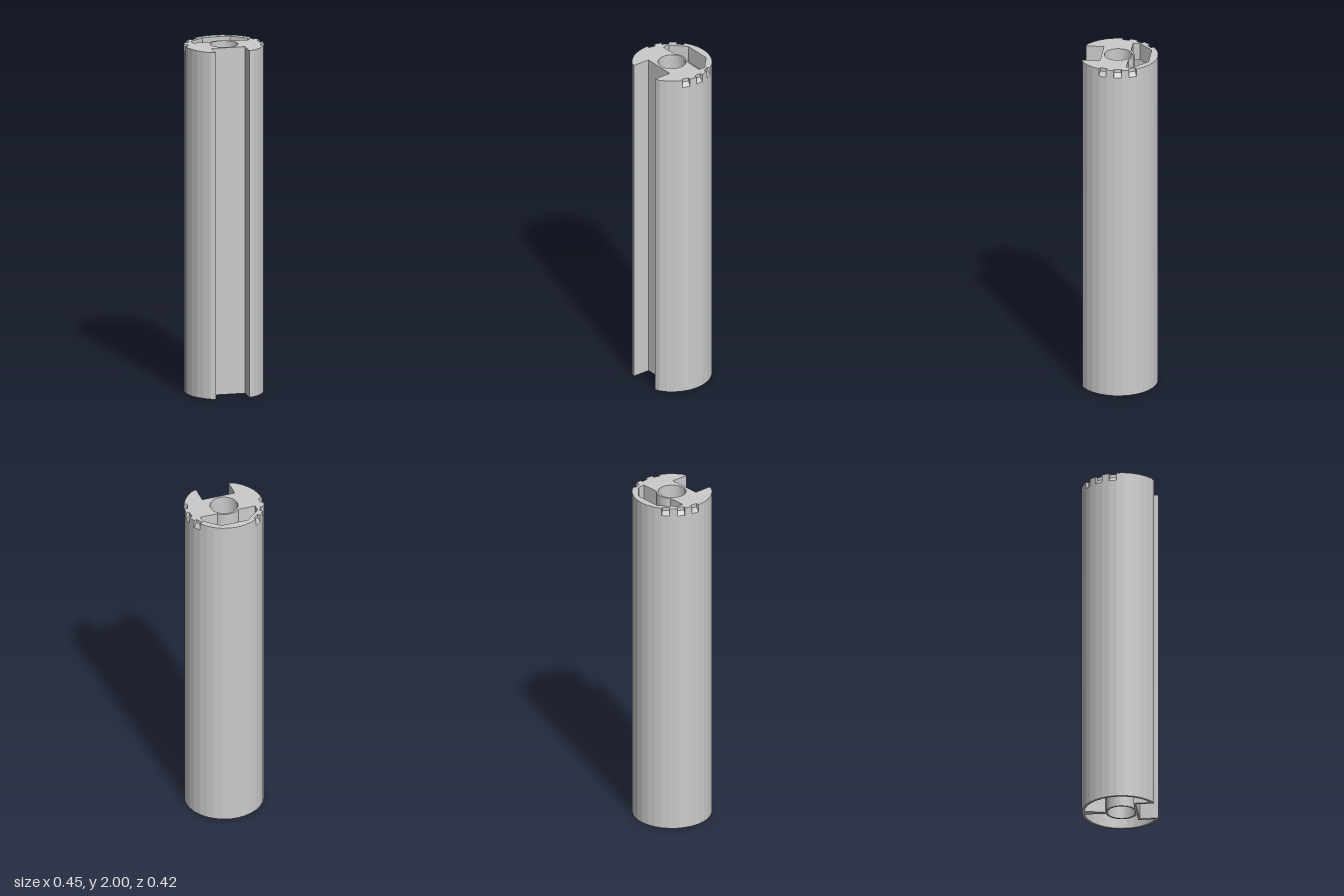
import * as THREE from 'three';

const CZ = 0.015;            // z of the round section's centre
const R = 0.225;             // outer radius
const STEP = Math.PI / 16;   // 32-sided outer wall
const TOP = 2, NOTCH = 1.955, PLATE = 1.9;
const NOTCH_DEPTH = 0.018;
const NOTCHES = [6, 8, 10, 19, 21, 23]; // notched facets, counted from +z towards +x

// point on a circle about the section's centre, angle measured from +z towards +x
const polar = (r, a) => new THREE.Vector2(r * Math.sin(a), CZ + r * Math.cos(a));
const ring = (r, n = 32) => Array.from({ length: n }, (_, i) => polar(r, (i * 2 * Math.PI) / n));
const points = (list) => list.map(([x, z]) => new THREE.Vector2(x, z));

// C-shaped section: round wall with a square slot at the front
function section(r, slotX, slotEnd, slotBack, notched = []) {
  const pts = [];
  for (let k = 3; k <= 29; k++) {
    pts.push(polar(r, k * STEP));
    if (notched.includes(k)) pts.push(polar(r - NOTCH_DEPTH, k * STEP), polar(r - NOTCH_DEPTH, (k + 1) * STEP));
  }
  pts.push(...points([[-slotX, slotEnd], [-slotX, slotBack], [slotX, slotBack], [slotX, slotEnd]]));
  return pts;
}

// opening behind the tube, its front edge curving around the tube wall
function windowOutline() {
  const pts = points([[0.163, -0.05], [0.163, -0.09], [0.08, -0.165],
    [-0.08, -0.165], [-0.163, -0.09], [-0.163, -0.05]]);
  for (let i = -4; i <= 4; i++) pts.push(polar(0.09, Math.PI - i * 0.19));
  return pts;
}

export function createModel() {
  const group = new THREE.Group();
  const material = new THREE.MeshStandardMaterial({ color: 0xcccccc, flatShading: true });

  function add(name, geometry) {
    const mesh = new THREE.Mesh(geometry, material);
    mesh.name = name;
    group.add(mesh);
    return mesh;
  }

  // extrude an (x, z) outline between two heights; a counter-clockwise
  // outline lets the extrusion orient the hole walls correctly
  function prism(name, outline, holes, y0, y1) {
    const ccw = THREE.ShapeUtils.isClockWise(outline) ? outline.slice().reverse() : outline;
    const shape = new THREE.Shape(ccw);
    shape.holes = holes.map((h) => new THREE.Path(h));
    const geo = new THREE.ExtrudeGeometry(shape, { depth: y1 - y0, bevelEnabled: false });
    add(name, geo.rotateX(Math.PI / 2).translate(0, y1, 0));
  }

  const outer = section(R, 0.097, 0.21, 0.107);
  const rim = section(R, 0.097, 0.21, 0.107, NOTCHES);
  const inner = section(0.211, 0.111, 0.187, 0.095);
  const bore = ring(0.079);

  // end plate, its upper layer notched around the rim
  prism('notchedPlate', rim, [bore, windowOutline()], NOTCH, TOP);
  prism('endPlate', outer, [bore, windowOutline()], PLATE, NOTCH);

  // sloping floor in each notch
  const slope = new THREE.Shape(points([[0, 0], [-NOTCH_DEPTH, 0.025], [-NOTCH_DEPTH, 0]]));
  const width = 2 * (R - NOTCH_DEPTH / 2) * Math.sin(STEP / 2);
  const wedge = new THREE.ExtrudeGeometry(slope, { depth: width, bevelEnabled: false }).translate(0, 0, -width / 2);
  for (const k of NOTCHES) {
    const a = (k + 0.5) * STEP;
    const p = polar(R * Math.cos(STEP / 2), a);
    const floor = add('notchFloor', wedge);
    floor.position.set(p.x, NOTCH, p.y);
    floor.rotation.y = a - Math.PI / 2;
  }

  // hollow body
  prism('outerWall', outer, [inner], 0, PLATE);
  prism('centreTube', ring(0.09), [bore], 0, PLATE);

  // wedge-shaped rib joining the tube to the back wall
  prism('rib', points([[-0.044, -0.2], [0.001, -0.2], [0.009, -0.07], [-0.011, -0.07]]), [], 0, PLATE);

  return group;
}
